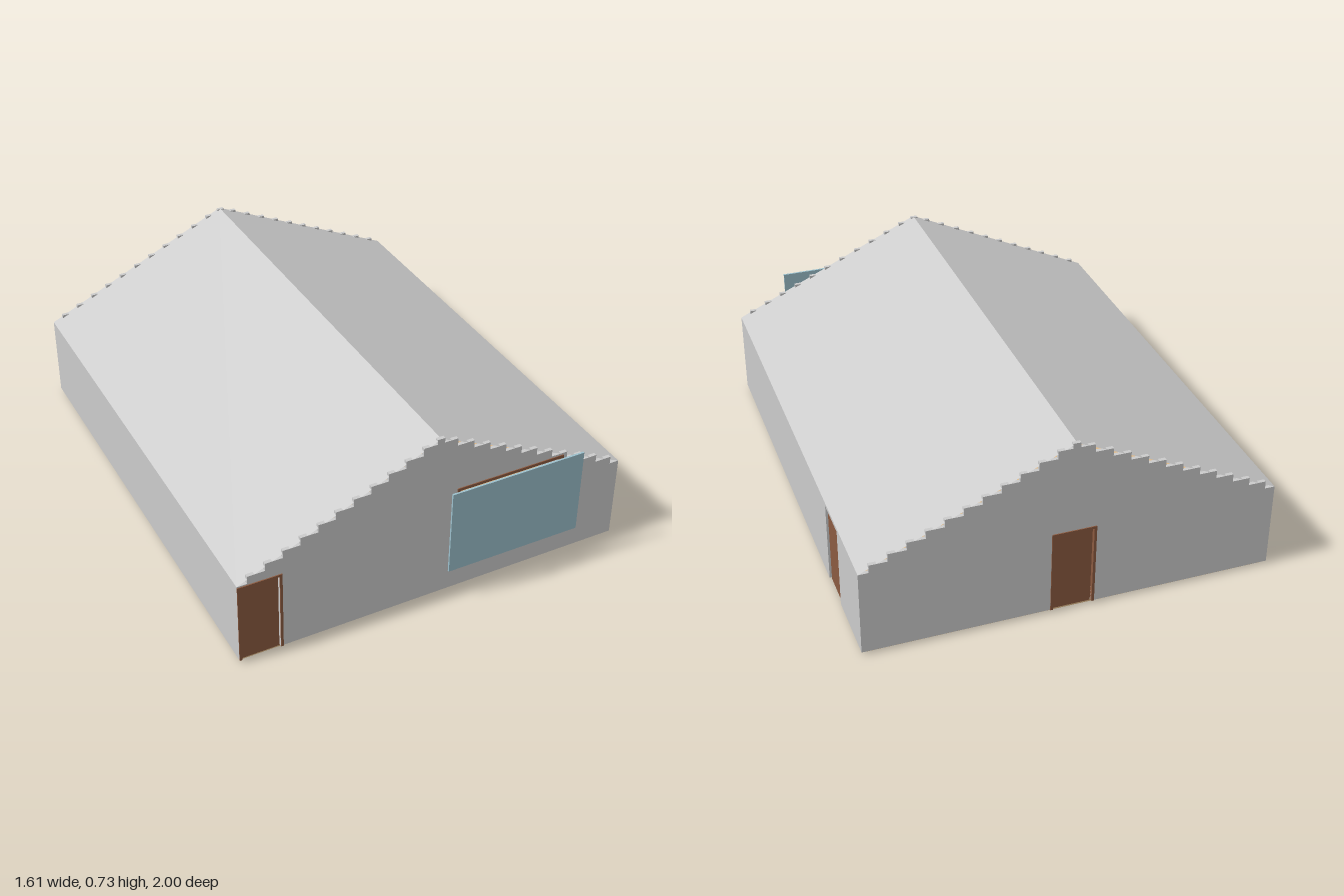
import * as THREE from 'three';

const grey = new THREE.MeshStandardMaterial({ color: 0xcccccc });
const thinGrey = new THREE.MeshStandardMaterial({ color: 0xcccccc, side: THREE.DoubleSide });
const wood = new THREE.MeshStandardMaterial({ color: 0x8b5a40 });
const tan = new THREE.MeshStandardMaterial({ color: 0xdeb887 });
const glass = new THREE.MeshStandardMaterial({ color: 0x9cc0cc });

const W = 0.805, EAVE = 0.36, RIDGE = 0.73, BASE = 0.012;
const FRONT = 0.941, BACK = -0.996, THICK = 0.015;

function add(parent, name, geometry, material, x = 0, y = 0, z = 0) {
  const mesh = new THREE.Mesh(geometry, material);
  mesh.name = name;
  mesh.position.set(x, y, z);
  parent.add(mesh);
  return mesh;
}

// box given by its minimum and maximum corners
function addBox(parent, name, material, [x0, y0, z0], [x1, y1, z1]) {
  return add(parent, name, new THREE.BoxGeometry(x1 - x0, y1 - y0, z1 - z0), material,
    (x0 + x1) / 2, (y0 + y1) / 2, (z0 + z1) / 2);
}

// flat wall: top outline running from right to left, with an optional doorway and window
function wallGeometry(top, door, hole) {
  const left = top[top.length - 1][0], right = top[0][0];
  const points = [[left, BASE]];
  if (door) points.push([door[0], BASE], [door[0], door[2]], [door[1], door[2]], [door[1], BASE]);
  points.push([right, BASE], ...top);
  const shape = new THREE.Shape(points.map(p => new THREE.Vector2(...p)));
  if (hole) {
    const [x0, x1, y0, y1] = hole;
    shape.holes.push(new THREE.Path([[x0, y0], [x0, y1], [x1, y1], [x1, y0]].map(p => new THREE.Vector2(...p))));
  }
  return new THREE.ExtrudeGeometry(shape, { depth: THICK, bevelEnabled: false });
}

// stepped outline of a gable, from the right eave over the ridge to the left eave
function gableTop() {
  const half = [[0.015, RIDGE]];
  let x = 0.015;
  for (let k = 0; k < 12; k++) {
    const y = 0.71 - k * (0.71 - EAVE) / 11;
    half.push([x, y]);
    x = Math.min(0.07 + k * 0.0695, W);
    half.push([x, y]);
  }
  return [...half.slice().reverse(), ...half.map(([px, py]) => [-px, py])];
}

// bars around an opening, between depths z0 and z1
function addFrame(parent, name, [x0, x1, y0, y1], bar, z0, z1, sill) {
  const frame = new THREE.Group();
  frame.name = name;
  addBox(frame, 'jambLeft', wood, [x1 - bar, y0, z0], [x1, y1, z1]);
  addBox(frame, 'jambRight', wood, [x0, y0, z0], [x0 + bar, y1, z1]);
  addBox(frame, 'head', wood, [x0 + bar, y1 - bar, z0], [x1 - bar, y1, z1]);
  if (sill) addBox(frame, 'sill', wood, [x0 + bar, y0, z0], [x1 - bar, y0 + bar, z1]);
  parent.add(frame);
}

export function createModel() {
  const house = new THREE.Group();
  house.name = 'house';

  // floor slab
  addBox(house, 'floor', tan, [-0.793, 0, -0.983], [0.793, BASE, 0.928]);

  // stepped gable walls
  const top = gableTop();
  add(house, 'frontGable', wallGeometry(top, [-0.795, -0.64, 0.345], [0.09, 0.53, 0.19, 0.47]),
    grey, 0, 0, FRONT - THICK);
  add(house, 'backGable', wallGeometry(top, [-0.078, 0.075, 0.345]), grey, 0, 0, BACK);

  // side walls, turned so that the outline runs along z
  const sideTop = [[-BACK - THICK, EAVE], [-FRONT + THICK, EAVE]];
  const leftWall = add(house, 'leftWall', wallGeometry(sideTop, [0.545, 0.71, 0.345]), grey, W - THICK);
  const rightWall = add(house, 'rightWall', wallGeometry(sideTop), grey, -W);
  leftWall.rotation.y = rightWall.rotation.y = Math.PI / 2;

  // thin roof sheets, cutting through the gable steps
  const slope = Math.hypot(W, RIDGE - EAVE);
  const pitch = Math.atan2(RIDGE - EAVE, W);
  for (const side of [1, -1]) {
    const sheet = new THREE.PlaneGeometry(slope, FRONT - BACK).rotateX(-Math.PI / 2);
    const roof = add(house, side > 0 ? 'leftRoof' : 'rightRoof', sheet, thinGrey,
      side * W / 2, (EAVE + RIDGE) / 2, (FRONT + BACK) / 2);
    roof.rotation.z = -side * pitch;
  }

  // front door
  addFrame(house, 'frontDoorFrame', [-W, -0.63, BASE, 0.355], 0.01, FRONT - THICK, FRONT + 0.004);
  addBox(house, 'frontDoor', wood, [-0.795, BASE, FRONT - 0.014], [-0.643, 0.34, FRONT - 0.006]);

  // back door
  addFrame(house, 'backDoorFrame', [-0.088, 0.085, BASE, 0.355], 0.01, -1, BACK + THICK);
  addBox(house, 'backDoor', wood, [-0.075, BASE, BACK + 0.006], [0.075, 0.34, BACK + 0.014]);

  // recessed door in the left wall
  addBox(house, 'sideDoor', wood, [W - 0.015, BASE, -0.71], [W - 0.007, 0.345, -0.553]);

  // front window: frame in the wall and a larger pane standing before it
  addFrame(house, 'windowFrame', [0.08, 0.54, 0.18, 0.48], 0.012, FRONT - THICK, FRONT + 0.004, true);
  addBox(house, 'windowPane', glass, [0.025, 0.15, 0.992], [0.59, 0.51, 1]);

  return house;
}
